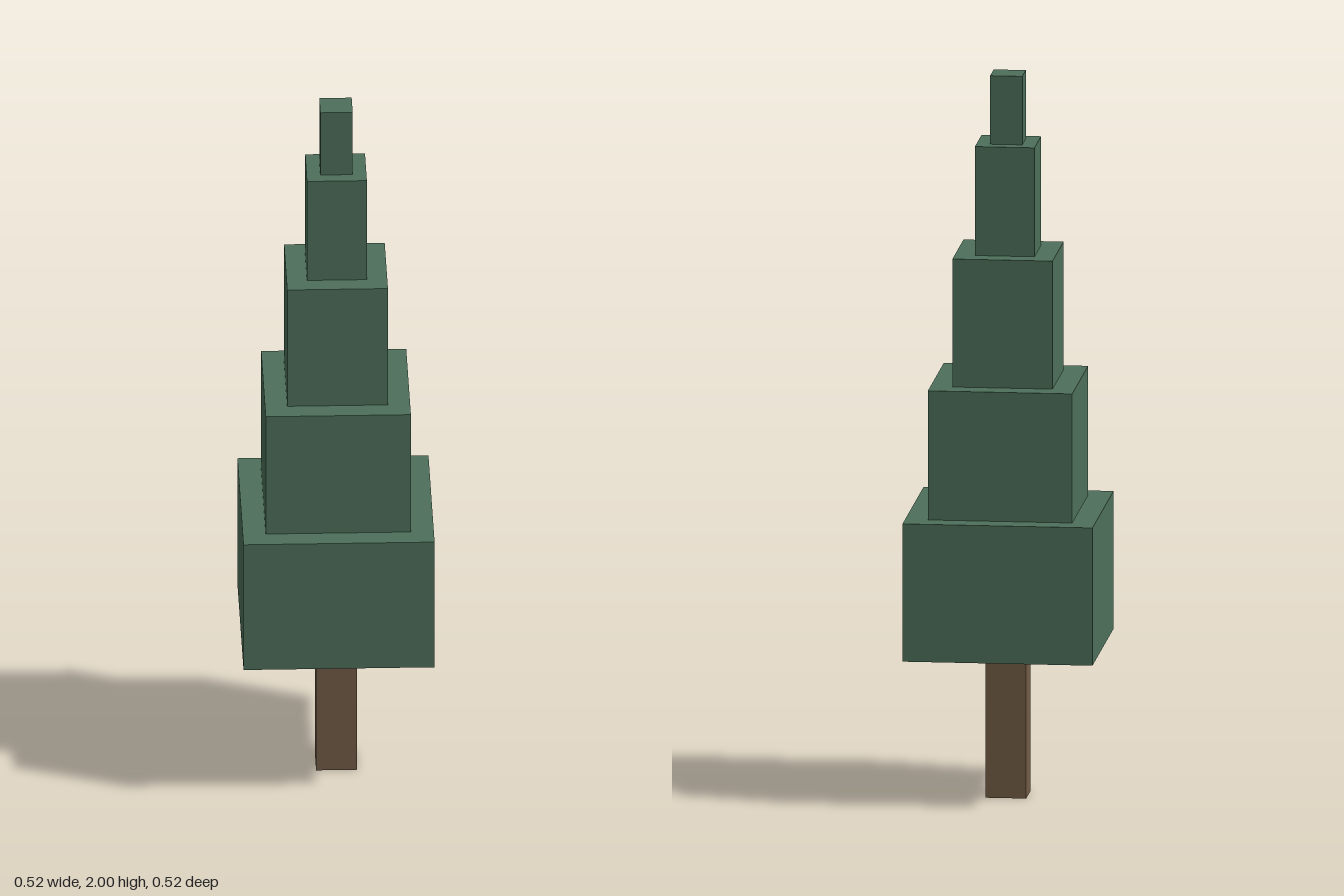
import * as THREE from 'three';

export function createModel() {
  const tree = new THREE.Group();
  tree.name = 'tree';
  const bark = new THREE.MeshStandardMaterial({ color: 0x725c46 });
  const leaves = new THREE.MeshStandardMaterial({ color: 0x4d6f5a });

  // Square block standing between two heights
  function addBlock(name, width, bottom, top, material) {
    const block = new THREE.Mesh(new THREE.BoxGeometry(width, top - bottom, width), material);
    block.name = name;
    block.position.y = (bottom + top) / 2;
    tree.add(block);
  }

  addBlock('trunk', 0.112, 0, 0.413, bark);

  // Foliage tiers, narrowing upwards
  const widths = [0.52, 0.395, 0.274, 0.163, 0.088];
  const heights = [0.413, 0.795, 1.153, 1.508, 1.81, 2];
  widths.forEach((width, i) => {
    addBlock(`foliageTier${i + 1}`, width, heights[i], heights[i + 1], leaves);
  });

  return tree;
}
